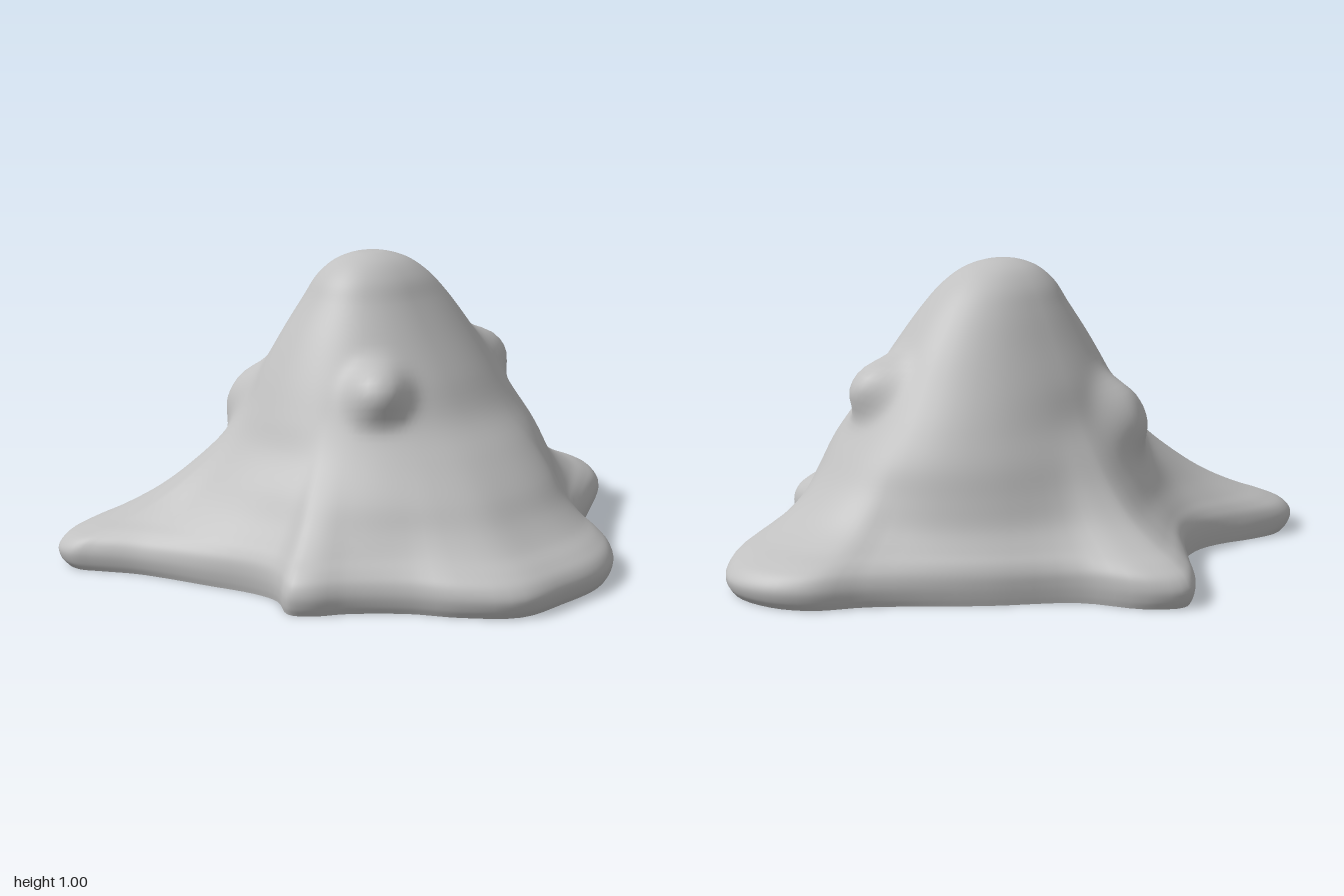
import * as THREE from 'three';

// Footprint of the skirt, as x, z pairs
const OUTLINE = [
  -0.05, -0.91, 0.06, -0.84, 0.18, -0.66, 0.42, -0.5, 0.72, -0.28, 0.88, -0.2, 0.97, -0.09, 1, 0.07,
  0.9, 0.23, 0.72, 0.35, 0.46, 0.51, 0.38, 0.62, 0.35, 0.72, 0.3, 0.79, 0.22, 0.85, 0.11, 0.89,
  -0.05, 0.9, -0.23, 0.89, -0.37, 0.76, -0.46, 0.63, -0.6, 0.5, -0.7, 0.44, -0.74, 0.38, -0.69, 0.27,
  -0.7, 0.17, -0.77, 0, -0.83, -0.14, -0.88, -0.24, -0.96, -0.35, -1, -0.41, -1, -0.48, -0.95, -0.54,
  -0.87, -0.57, -0.76, -0.56, -0.62, -0.525, -0.52, -0.52, -0.42, -0.55, -0.33, -0.62, -0.22, -0.75, -0.12, -0.87,
];

// Height, core radius toward +x, -x, +z, -z, and how far the ring follows the footprint
const RINGS = [
  [0, 0.6, 0.6, 0.6, 0.6, 0.94],
  [0.025, 0.6, 0.6, 0.6, 0.6, 0.985],
  [0.06, 0.6, 0.6, 0.6, 0.6, 1],
  [0.095, 0.6, 0.6, 0.6, 0.58, 0.94],
  [0.125, 0.6, 0.59, 0.6, 0.54, 0.81],
  [0.16, 0.59, 0.58, 0.6, 0.5, 0.62],
  [0.22, 0.58, 0.55, 0.6, 0.46, 0.4],
  [0.3, 0.58, 0.52, 0.59, 0.45, 0.21],
  [0.4, 0.57, 0.47, 0.53, 0.43, 0.07],
  [0.5, 0.53, 0.44, 0.45, 0.39, 0],
  [0.62, 0.45, 0.38, 0.37, 0.335, 0],
  [0.74, 0.37, 0.31, 0.285, 0.27, 0],
  [0.85, 0.285, 0.235, 0.21, 0.21, 0],
  [0.92, 0.215, 0.19, 0.165, 0.165, 0],
  [0.97, 0.14, 0.13, 0.11, 0.11, 0],
  [0.995, 0.06, 0.06, 0.05, 0.05, 0],
  [1, 0, 0, 0, 0, 0],
];

// Rounded knobs swelling out of the slope
const BUMPS = [
  { at: [-0.26, 0.59, 0.27], size: 0.075, push: 0.085 },
  { at: [0.43, 0.61, 0.07], size: 0.085, push: 0.085 },
  { at: [-0.27, 0.48, -0.35], size: 0.1, push: 0.075 },
];

const CENTRE = new THREE.Vector3(-0.03, 0, -0.02);
const COLUMNS = 160, ROWS = 80;

function swell(p) {
  for (const { at, size, push } of BUMPS) {
    const c = new THREE.Vector3(...at);
    const out = c.clone().sub(CENTRE).setY(0).normalize().setY(0.35).normalize();
    const d = p.distanceTo(c) / size;
    p.addScaledVector(out, push * Math.exp(-Math.pow(d, 3) * 0.55));
  }
  return p;
}

// One vertical profile running from the ground to the peak
function profile(edge) {
  const dir = edge.clone().sub(CENTRE).setY(0);
  const reach = dir.length();
  dir.normalize();
  const points = RINGS.map(([y, px, nx, pz, nz, follow]) => {
    const core = dir.x ** 2 * (dir.x > 0 ? px : nx) + dir.z ** 2 * (dir.z > 0 ? pz : nz);
    const r = THREE.MathUtils.lerp(core, reach, follow);
    return new THREE.Vector3(CENTRE.x + dir.x * r, y, CENTRE.z + dir.z * r);
  });
  return new THREE.CatmullRomCurve3(points);
}

function geometryFrom(points, index) {
  const geometry = new THREE.BufferGeometry().setFromPoints(points);
  geometry.setIndex(index);
  geometry.computeVertexNormals();
  return geometry;
}

export function createModel() {
  const group = new THREE.Group();
  group.name = 'moundCreature';
  const grey = new THREE.MeshStandardMaterial({ color: 0xc0c0c0 });
  grey.name = 'plain grey';

  const corners = [];
  for (let i = 0; i < OUTLINE.length; i += 2) corners.push(new THREE.Vector3(OUTLINE[i], 0, OUTLINE[i + 1]));
  const outline = new THREE.CatmullRomCurve3(corners, true);

  // Body: columns around the footprint, each rising to the peak
  const skin = [], skinIndex = [];
  for (let j = 0; j < COLUMNS; j++) {
    const curve = profile(outline.getPoint(j / COLUMNS));
    for (let i = 0; i <= ROWS; i++) {
      const p = swell(curve.getPoint(i / ROWS));
      p.y = Math.max(p.y, 0);
      skin.push(p);
      if (i === ROWS) continue;
      const a = j * (ROWS + 1) + i;
      const b = ((j + 1) % COLUMNS) * (ROWS + 1) + i;
      skinIndex.push(a, a + 1, b, b, a + 1, b + 1);
    }
  }
  const body = new THREE.Mesh(geometryFrom(skin, skinIndex), grey);
  body.name = 'body';

  // Flat underside fan
  const base = [CENTRE.clone()], baseIndex = [];
  for (let j = 0; j < COLUMNS; j++) {
    base.push(skin[j * (ROWS + 1)].clone());
    baseIndex.push(0, j + 1, ((j + 1) % COLUMNS) + 1);
  }
  const underside = new THREE.Mesh(geometryFrom(base, baseIndex), grey);
  underside.name = 'underside';

  group.add(body, underside);
  return group;
}
